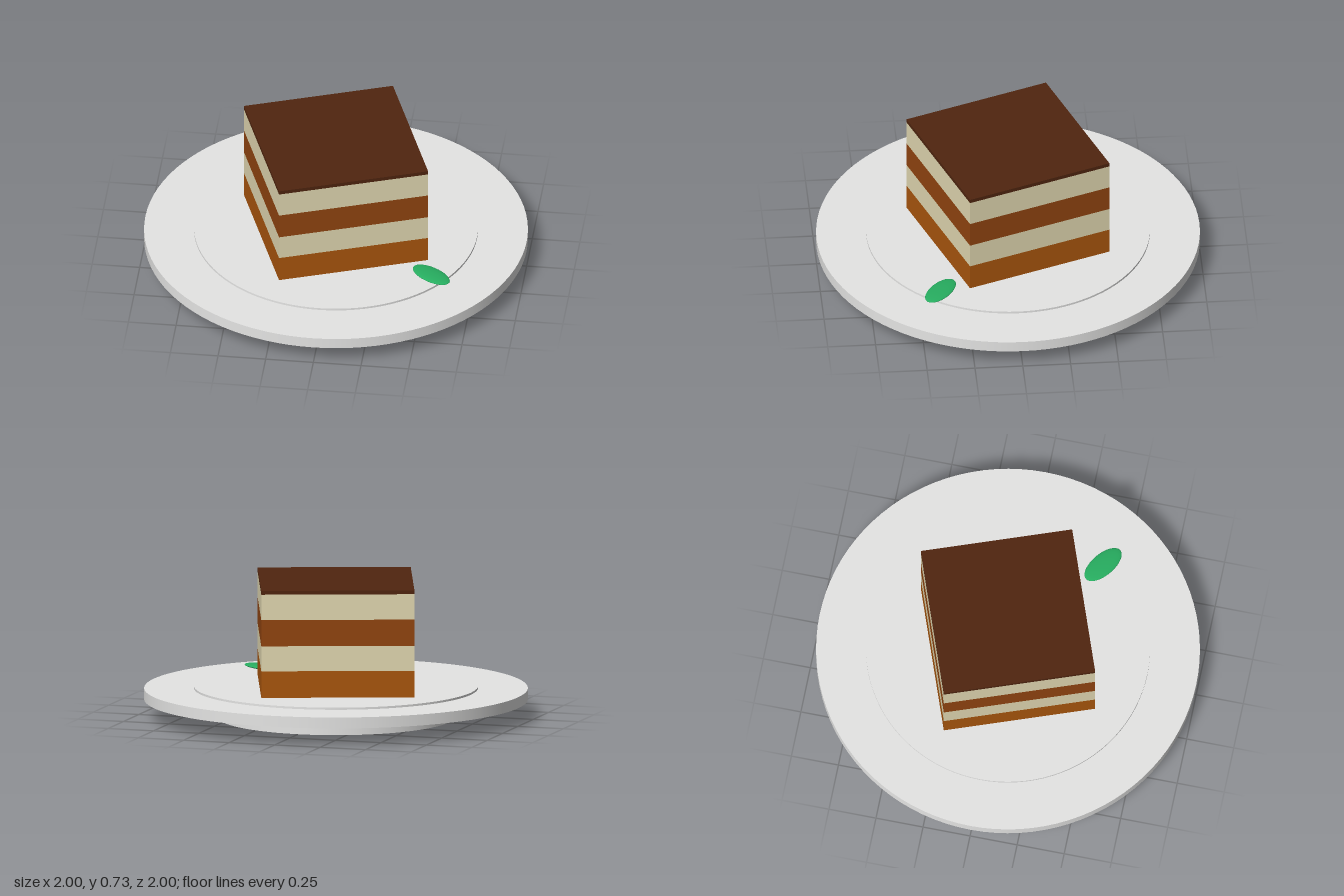
import * as THREE from 'three';

const paint = (name, color) => {
  const m = new THREE.MeshStandardMaterial({ color });
  m.name = name;
  return m;
};

export function createModel() {
  const china = paint('china', 0xe5e5e4);
  const lightSponge = paint('lightSponge', 0xaa560d);
  const darkSponge = paint('darkSponge', 0x924510);
  const cream = paint('cream', 0xe3d9b2);
  const chocolate = paint('chocolate', 0x50250f);
  const green = paint('leafGreen', 0x27ae60);

  const model = new THREE.Group();
  model.name = 'cakeOnPlate';
  const add = (parent, name, geometry, material, y) => {
    const mesh = new THREE.Mesh(geometry, material);
    mesh.name = name;
    mesh.position.y = y;
    parent.add(mesh);
    return mesh;
  };

  // Plate: foot, wide disc and slightly raised centre
  const plate = new THREE.Group();
  plate.name = 'plate';
  model.add(plate);
  for (const [name, radius, y0, y1] of [
    ['plateFoot', 0.617, 0, 0.095],
    ['plateDisc', 1, 0.095, 0.153],
    ['plateCentre', 0.74, 0.153, 0.164],
  ]) {
    add(plate, name, new THREE.CylinderGeometry(radius, radius, y1 - y0, 96), china, (y0 + y1) / 2);
  }

  // Square slice, layers stacked from the bottom up
  const cake = new THREE.Group();
  cake.name = 'cakeSlice';
  cake.rotation.y = 0.35;
  model.add(cake);
  let y = 0.164;
  for (const [name, top, material] of [
    ['bottomSponge', 0.304, lightSponge],
    ['lowerCream', 0.436, cream],
    ['upperSponge', 0.574, darkSponge],
    ['upperCream', 0.708, cream],
    ['chocolateTop', 0.728, chocolate],
  ]) {
    add(cake, name, new THREE.BoxGeometry(0.798, top - y, 0.798), material, (y + top) / 2);
    y = top;
  }

  // Flat mint leaf beside the slice
  const leaf = add(model, 'mintLeaf', new THREE.SphereGeometry(0.12, 32, 20), green, 0.182);
  leaf.position.set(0.547, 0.182, 0.395);
  leaf.scale.set(1, 0.09, 0.49);
  leaf.rotation.y = -0.63;

  return model;
}
